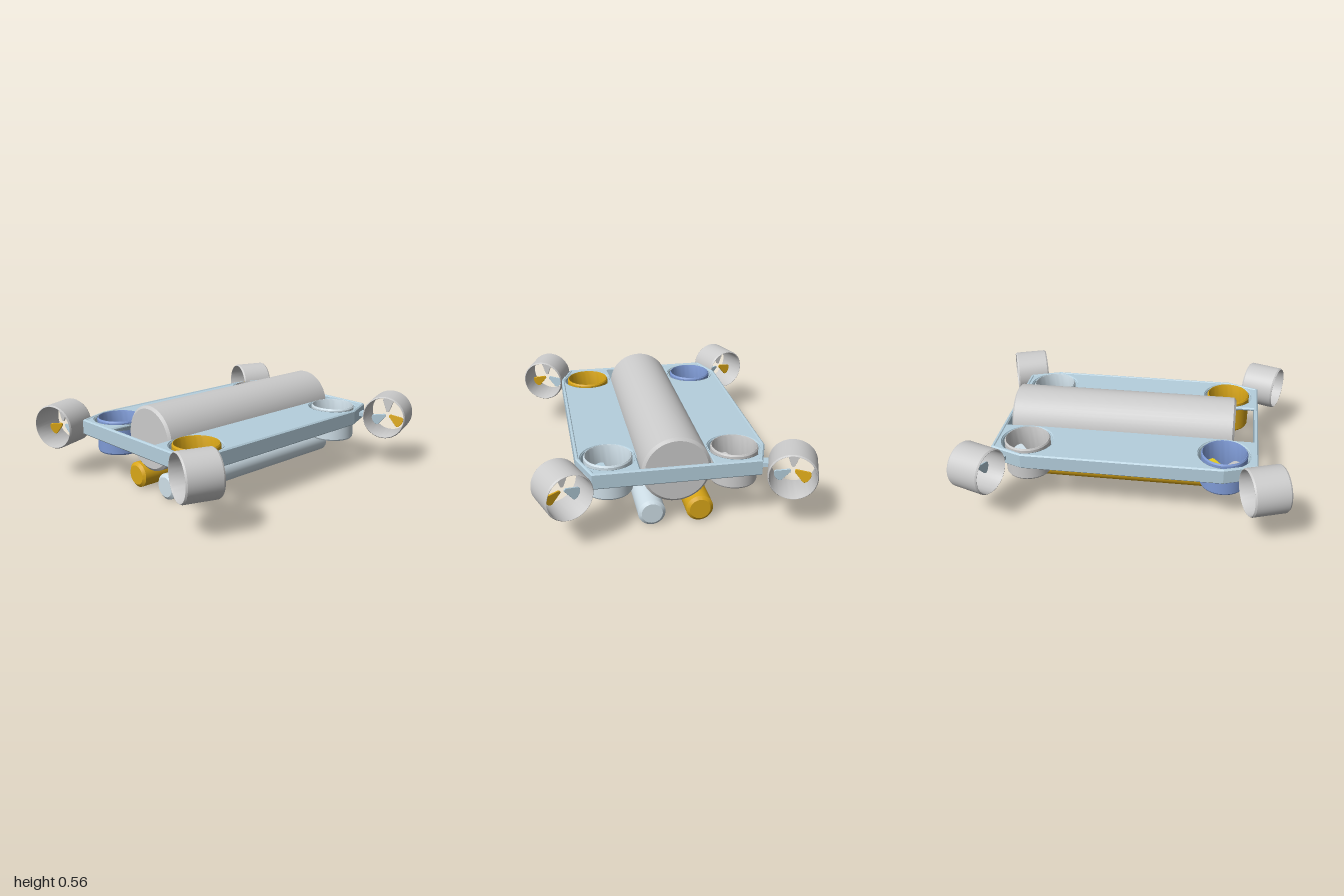
import * as THREE from 'three';
import { toCreasedNormals } from 'three/addons/utils/BufferGeometryUtils.js';

const GREY = 0xcccccc, PALE = 0xcfdfe8, SKY = 0xb5cfdd, GOLD = 0xdaa718, YELLOW = 0xe0c81c, BLUE = 0x7f9bd6;

function mesh(name, geometry, color, side = THREE.FrontSide) {
  const m = new THREE.Mesh(geometry, new THREE.MeshStandardMaterial({ color, side }));
  m.name = name;
  return m;
}

const lathe = (points) => toCreasedNormals(
  new THREE.LatheGeometry(points.map(([r, y]) => new THREE.Vector2(r, y)), 48), 0.5);

// Flat slab from an (x, z) outline, between two heights, with a small bevel
function slab(shape, bottom, top, bevel) {
  const g = new THREE.ExtrudeGeometry(shape, {
    depth: top - bottom - 2 * bevel, bevelSize: bevel, bevelThickness: bevel,
    bevelOffset: -bevel, bevelSegments: 1, curveSegments: 24,
  });
  return g.rotateX(Math.PI / 2).translate(0, top - bevel, 0);
}

const polygon = (pts) => pts.map(([x, z]) => new THREE.Vector2(x, z));
const octagon = (x, cz, cx, z) => polygon([
  [x, -cz], [x, cz], [cx, z], [-cx, z], [-x, cz], [-x, -cz], [-cx, -z], [cx, -z]]);

// Capped cylinder lying along x with chamfered ends
function tube(name, r, chamfer, y, z, color) {
  const h = 0.713;
  const g = lathe([[0, -h], [r - chamfer, -h], [r, -h + chamfer * 0.8],
    [r, h - chamfer * 0.8], [r - chamfer, h], [0, h]]);
  const m = mesh(name, g.rotateZ(-Math.PI / 2), color);
  m.position.set(0.05, y, z);
  return m;
}

// Duct with three teardrop blades; its axis is local y
const ductGeometry = lathe([[0.136, -0.11], [0.142, -0.1], [0.142, 0.1], [0.136, 0.11],
  [0.134, 0.11], [0.131, 0.1], [0.131, -0.1], [0.134, -0.11], [0.136, -0.11]]);

function bladeGeometry() {
  const s = new THREE.Shape();
  s.moveTo(-0.01, -0.02);
  s.lineTo(-0.036, -0.09);
  s.bezierCurveTo(-0.042, -0.122, 0.042, -0.122, 0.036, -0.09);
  s.lineTo(0.01, -0.02);
  s.quadraticCurveTo(0, -0.008, -0.01, -0.02);
  return slab(s, -0.005, 0.005, 0.001).rotateZ(0.12);
}

function thruster(name, ductColor, bladeColors) {
  const g = new THREE.Group();
  g.name = name;
  g.add(mesh('duct', ductGeometry, ductColor));
  bladeColors.forEach((c, i) => {
    const blade = mesh('blade', bladeGeometry(), c);
    blade.rotation.y = (i * 2 * Math.PI) / 3;
    g.add(blade);
  });
  return g;
}

export function createModel() {
  const model = new THREE.Group();
  model.name = 'underwaterVehicle';

  // Main hull and the two lower tubes
  model.add(tube('hull', 0.203, 0.017, 0.352, 0, GREY));
  model.add(tube('frontLowerTube', 0.081, 0.019, 0.081, 0.143, PALE));
  model.add(tube('rearLowerTube', 0.081, 0.019, 0.081, -0.143, GOLD));

  // Outer frame wall
  const rim = new THREE.Shape(octagon(0.812, 0.49, 0.612, 0.563));
  rim.holes.push(new THREE.Path(octagon(0.788, 0.474, 0.607, 0.541)));
  model.add(mesh('frameRim', slab(rim, 0.3, 0.4, 0.008), SKY));

  // Deck plates with thruster holes, front and rear
  const px = 0.61, pz = 0.376;
  for (const sz of [1, -1]) {
    const deck = new THREE.Shape(polygon([[-0.8, 0.212], [0.8, 0.212], [0.8, 0.48],
      [0.609, 0.552], [-0.609, 0.552], [-0.8, 0.48]].map(([x, z]) => [x, z * sz])));
    for (const sx of [1, -1]) {
      const hole = new THREE.Path();
      hole.absarc(sx * px, sz * pz, 0.157, 0, Math.PI * 2);
      deck.holes.push(hole);
    }
    model.add(mesh('deckPlate', slab(deck, 0.372, 0.395, 0.008), SKY));
  }

  // Vertical thrusters in tapered collars
  const vertical = [
    [-1, -1, BLUE, [GOLD, GREY, YELLOW]],
    [1, -1, GREY, [BLUE, GREY, PALE]],
    [-1, 1, GOLD, [SKY, GREY, BLUE]],
    [1, 1, PALE, [YELLOW, SKY, GREY]],
  ];
  const collarGeometry = lathe([[0.142, 0.35], [0.164, 0.396]]);
  for (const [sx, sz, color, blades] of vertical) {
    const t = thruster('verticalThruster', color, blades);
    t.position.set(sx * px, 0.298, sz * pz);
    const collar = mesh('thrusterCollar', collarGeometry, SKY, THREE.DoubleSide);
    collar.position.set(sx * px, 0, sz * pz);
    model.add(t, collar);
  }

  // Angled corner thrusters and their brackets
  const angle = THREE.MathUtils.degToRad(20);
  for (const sx of [1, -1]) for (const sz of [1, -1]) {
    const axis = new THREE.Vector3(Math.cos(angle), 0, -sx * sz * Math.sin(angle));
    const down = new THREE.Vector3(0, -1, 0);
    const across = new THREE.Vector3().crossVectors(axis, down);
    const t = thruster('cornerThruster', GREY, sz > 0 ? [GREY, GOLD, SKY] : [GREY, SKY, GOLD]);
    t.quaternion.setFromRotationMatrix(new THREE.Matrix4().makeBasis(across, axis, down));
    t.position.set(sx * 0.853, 0.348, sz * 0.657);
    model.add(t);

    const bracket = mesh('thrusterBracket', new THREE.BoxGeometry(0.07, 0.025, 0.05), SKY);
    bracket.position.set(sx * 0.745, 0.348, sz * 0.522);
    bracket.rotation.y = sx * sz * angle;
    model.add(bracket);
  }
  return model;
}
